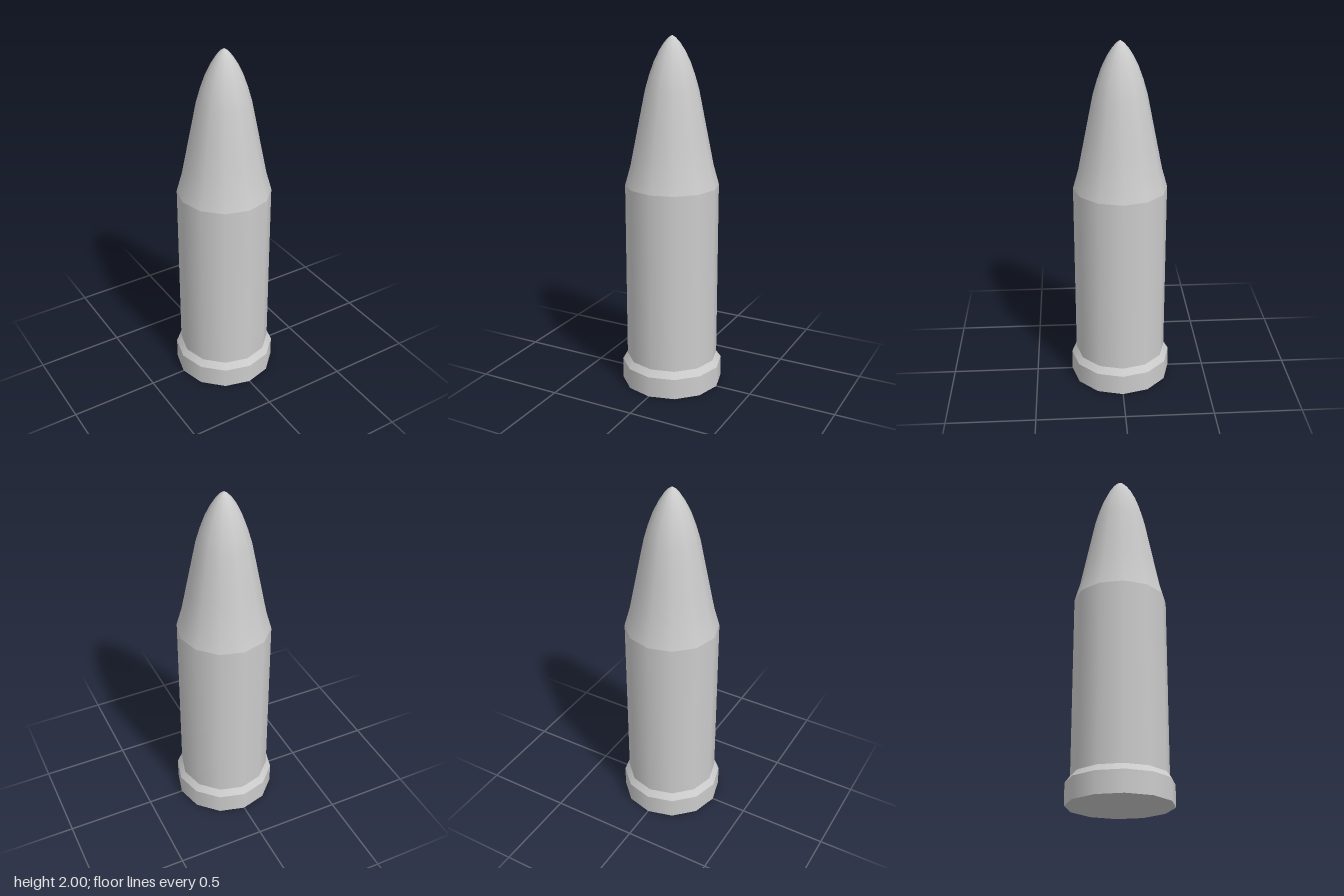
import * as THREE from 'three';

const SIDES = 12;
const material = new THREE.MeshStandardMaterial({ color: 0xcccccc });

// Turned section from [radius, height] pairs, listed from bottom to top
function turned(name, profile) {
  const points = profile.map(([r, y]) => new THREE.Vector2(r, y));
  const mesh = new THREE.Mesh(new THREE.LatheGeometry(points, SIDES), material);
  mesh.name = name;
  return mesh;
}

export function createModel() {
  const group = new THREE.Group();
  group.name = 'cartridge';

  // Separate sections keep the edges between them sharp
  group.add(
    turned('base', [[0, 0], [0.29, 0]]),
    turned('rim', [[0.29, 0], [0.29, 0.12]]),
    turned('rimBevel', [[0.29, 0.12], [0.262, 0.157]]),
    turned('casing', [[0.262, 0.157], [0.262, 1.18]]),
    // Shoulder running smoothly into the rounded tip
    turned('nose', [
      [0.262, 1.18], [0.231, 1.29], [0.205, 1.42], [0.177, 1.56], [0.147, 1.71],
      [0.124, 1.79], [0.099, 1.86], [0.07, 1.92], [0.044, 1.96], [0.02, 1.987], [0, 2],
    ]),
  );
  return group;
}
